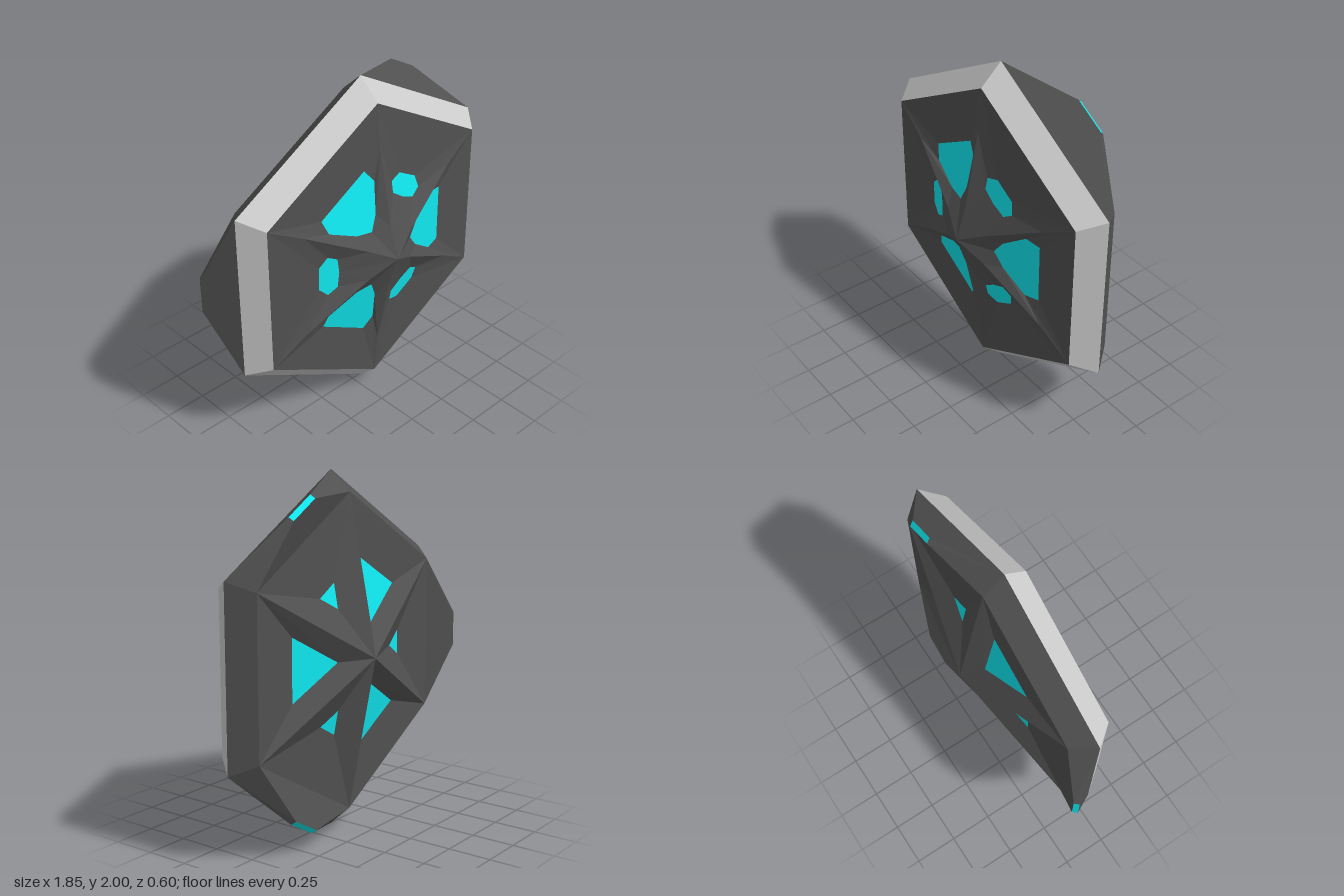
import * as THREE from 'three';

const CX = 0.06, CY = 1;
const materials = {
  dark: new THREE.MeshStandardMaterial({ color: 0x505050, flatShading: true }),
  rim: new THREE.MeshStandardMaterial({ color: 0xcccccc, flatShading: true }),
  cyan: new THREE.MeshStandardMaterial({ color: 0x10e8f0, flatShading: true }),
};

// Point in a sector's own frame: r outward, t sideways, z forward
const p = (r, t, z) => new THREE.Vector3(r, t, z);
// The same point mirrored across the sector's middle line
const m = (v) => new THREE.Vector3(v.x, -v.y, v.z);
// Point on a spoke at the +30 degree edge of the sector
const spoke = (r, z) => p(r * Math.cos(Math.PI / 6), r * 0.5, z);

// Collects flat polygons, turning each to face away from an inside point
class Shell {
  constructor() { this.pos = []; }
  add(points, angle, inside = p(0, 0, 0)) {
    const mid = new THREE.Vector3();
    points.forEach((v) => mid.addScaledVector(v, 1 / points.length));
    const normal = new THREE.Vector3();
    for (let i = 1; i < points.length - 1; i++) {
      normal.add(points[i].clone().sub(points[0]).cross(points[i + 1].clone().sub(points[0])));
    }
    const ring = normal.dot(mid.sub(inside)) < 0 ? [...points].reverse() : points;
    for (let i = 1; i < ring.length - 1; i++) {
      for (const v of [ring[0], ring[i], ring[i + 1]]) {
        const w = v.clone().applyAxisAngle(new THREE.Vector3(0, 0, 1), angle);
        this.pos.push(w.x + CX, w.y + CY, w.z);
      }
    }
  }
  addPair(points, angle, inside) {
    this.add(points, angle, inside);
    this.add(points.map(m), angle, inside);
  }
  mesh(name, material) {
    const g = new THREE.BufferGeometry();
    g.setAttribute('position', new THREE.Float32BufferAttribute(this.pos, 3));
    g.computeVertexNormals();
    const mesh = new THREE.Mesh(g, material);
    mesh.name = name;
    return mesh;
  }
}

export function createModel() {
  const group = new THREE.Group();
  group.name = 'hexagonalShield';
  const front = new Shell(), back = new Shell(), rim = new Shell(), backRim = new Shell();
  const flaps = new Shell(), frontGems = new Shell(), backGems = new Shell(), flapTips = new Shell();

  // Height of the sloping gem plane at radius r
  const gemZ = (r) => 0.2405 - 0.227 * r;
  const gem = (r, t, side = 1) => p(r, t, side * gemZ(r));

  const edge = spoke(1, 0);
  const frontCorner = spoke(0.885, 0.126), backCorner = spoke(0.885, -0.126);
  const frontApex = p(0, 0, 0.3), backApex = p(0, 0, -0.3);
  const ridgeIn = spoke(0.186, 0.237), ridgeOut = spoke(0.63, 0.1485);

  for (let i = 0; i < 6; i++) {
    const a = (i * Math.PI) / 3;
    const big = i % 2 === 0;

    // Gem outline: inner tip, two shoulders, outer corner
    const [T, P, Q, C] = big
      ? [gem(0.2, 0), gem(0.26, 0.08), gem(0.41, 0.19), gem(0.5, 0.177)]
      : [gem(0.318, 0), gem(0.328, 0.09), gem(0.387, 0.122), gem(0.44, 0.07)];

    // Front: ridged spokes falling to the gem, then the outer panel
    front.addPair([frontApex, ridgeIn, T], a);
    front.addPair([ridgeIn, P, T], a);
    front.addPair([ridgeIn, ridgeOut, P], a);
    front.addPair([ridgeOut, Q, P], a);
    front.addPair([ridgeOut, frontCorner, Q], a);
    front.addPair([frontCorner, C, Q], a);
    front.add([frontCorner, C, m(C), m(frontCorner)], a);
    frontGems.add([T, P, Q, C, m(C), m(Q), m(P)], a);

    // Back: straight star arms with triangular gems between them
    const bT = big ? gem(0.2, 0, -1) : gem(0.322, 0, -1);
    const bC = big ? gem(0.5, 0.177, -1) : gem(0.442, 0.07, -1);
    back.addPair([backApex, backCorner, bT], a);
    back.addPair([backCorner, bC, bT], a);
    back.add([backCorner, bC, m(bC), m(backCorner)], a);
    backGems.add([bT, bC, m(bC)], a);

    // Bevelled rim
    rim.add([edge, frontCorner, m(frontCorner), m(edge)], a);
    if (big) {
      backRim.add([edge, backCorner, m(backCorner), m(edge)], a);
    } else {
      // Swept-back flap with a gem-coloured end
      const inside = p(0.86, 0, -0.1);
      const outer = p(0.982, 0.1, -0.176), inner = p(0.96, 0.1, -0.2);
      flaps.add([edge, outer, m(outer), m(edge)], a, inside);
      flaps.add([backCorner, inner, m(inner), m(backCorner)], a, inside);
      flaps.addPair([edge, outer, inner], a, inside);
      flaps.addPair([edge, inner, backCorner], a, inside);
      flapTips.add([outer, inner, m(inner), m(outer)], a, inside);
    }
  }

  group.add(
    front.mesh('frontStar', materials.dark),
    back.mesh('backStar', materials.dark),
    rim.mesh('frontRim', materials.rim),
    backRim.mesh('backRim', materials.dark),
    flaps.mesh('flaps', materials.dark),
    frontGems.mesh('frontGems', materials.cyan),
    backGems.mesh('backGems', materials.cyan),
    flapTips.mesh('flapTips', materials.cyan),
  );
  return group;
}
